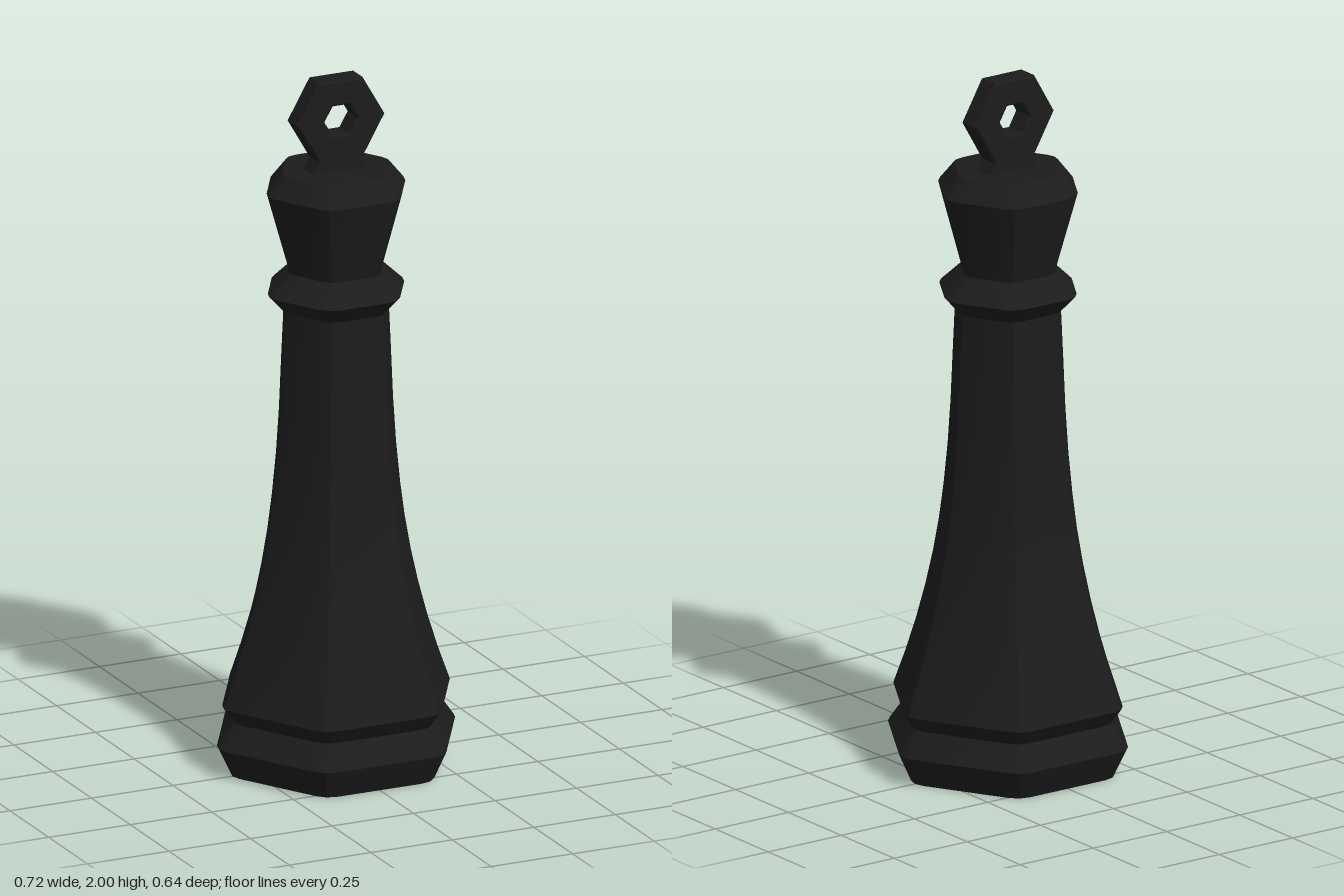
import * as THREE from 'three';
import { toCreasedNormals } from 'three/addons/utils/BufferGeometryUtils.js';

// Hexagon outline with softened corners; "apothem" is the centre-to-side distance
function hexRing(apothem) {
  const R = apothem / Math.cos(Math.PI / 6);
  const t = Math.min(0.036, R * 0.18);
  const corner = (k) => new THREE.Vector2(Math.cos(k * Math.PI / 3), -Math.sin(k * Math.PI / 3)).multiplyScalar(R);
  const points = [];
  for (let k = 0; k < 6; k++) {
    const c = corner(k);
    const toPrev = corner(k - 1).sub(c).normalize();
    const toNext = corner(k + 1).sub(c).normalize();
    points.push(
      c.clone().addScaledVector(toPrev, t),
      c.clone().addScaledVector(toPrev, t / 4).addScaledVector(toNext, t / 4),
      c.clone().addScaledVector(toNext, t)
    );
  }
  return points;
}

// Solid lofted through hexagonal rings given as [y, apothem], capped at both ends
function hexLoft(profile) {
  const pos = [], index = [], n = 18;
  for (const [y, a] of profile) for (const p of hexRing(a)) pos.push(p.x, y, p.y);
  const last = profile.length - 1;
  const bottom = pos.length / 3, top = bottom + 1;
  pos.push(0, profile[0][0], 0, 0, profile[last][0], 0);
  for (let i = 0; i < n; i++) {
    const j = (i + 1) % n;
    for (let r = 0; r < last; r++) {
      const lo = r * n, up = lo + n;
      index.push(lo + i, lo + j, up + j, lo + i, up + j, up + i);
    }
    index.push(bottom, j, i, top, last * n + i, last * n + j);
  }
  const geo = new THREE.BufferGeometry();
  geo.setAttribute('position', new THREE.Float32BufferAttribute(pos, 3));
  geo.setIndex(index);
  return toCreasedNormals(geo, 0.5);
}

// Points of a hexagon with corners pointing sideways
function hexPoints(r, cy) {
  return Array.from({ length: 6 }, (_, k) =>
    new THREE.Vector2(r * Math.cos(k * Math.PI / 3), cy + r * Math.sin(k * Math.PI / 3)));
}

export function createModel() {
  const group = new THREE.Group();
  const black = new THREE.MeshStandardMaterial({ color: 0x1c1c1c });
  black.name = 'matte black';
  const add = (name, geo) => {
    const mesh = new THREE.Mesh(geo, black);
    mesh.name = name;
    group.add(mesh);
  };

  // Stacked hexagonal parts, bottom to top
  add('base', hexLoft([[0, 0.283], [0.085, 0.319], [0.155, 0.276]]));
  add('body', hexLoft([[0.155, 0.276], [0.2, 0.305], [0.3, 0.273], [0.4, 0.245], [0.5, 0.221], [0.6, 0.201],
    [0.7, 0.185], [0.8, 0.173], [0.92, 0.162], [1.05, 0.154], [1.2, 0.148], [1.34, 0.142]]));
  add('collar', hexLoft([[1.335, 0.142], [1.385, 0.184], [1.445, 0.126]]));
  add('crown', hexLoft([[1.445, 0.126], [1.68, 0.187], [1.737, 0.145]]));

  // Hexagonal loop on top with a hexagonal hole
  const cy = 1.885, depth = 0.07, bevel = 0.005;
  const extrude = (shape) => {
    const geo = new THREE.ExtrudeGeometry(shape, {
      depth: depth - 2 * bevel, bevelEnabled: true, bevelSegments: 1,
      bevelSize: bevel, bevelThickness: bevel, bevelOffset: -bevel,
    });
    return geo.translate(0, 0, -depth / 2 + bevel);
  };
  const loop = new THREE.Shape(hexPoints(0.134, cy));
  loop.holes.push(new THREE.Path(hexPoints(0.05, cy).reverse()));
  add('loop', extrude(loop));

  // Flared foot joining the loop to the crown
  add('loopFoot', extrude(new THREE.Shape([
    new THREE.Vector2(-0.09, 1.725), new THREE.Vector2(0.09, 1.725),
    new THREE.Vector2(0.064, 1.775), new THREE.Vector2(0.064, 1.785),
    new THREE.Vector2(-0.064, 1.785), new THREE.Vector2(-0.064, 1.775),
  ])));

  return group;
}
